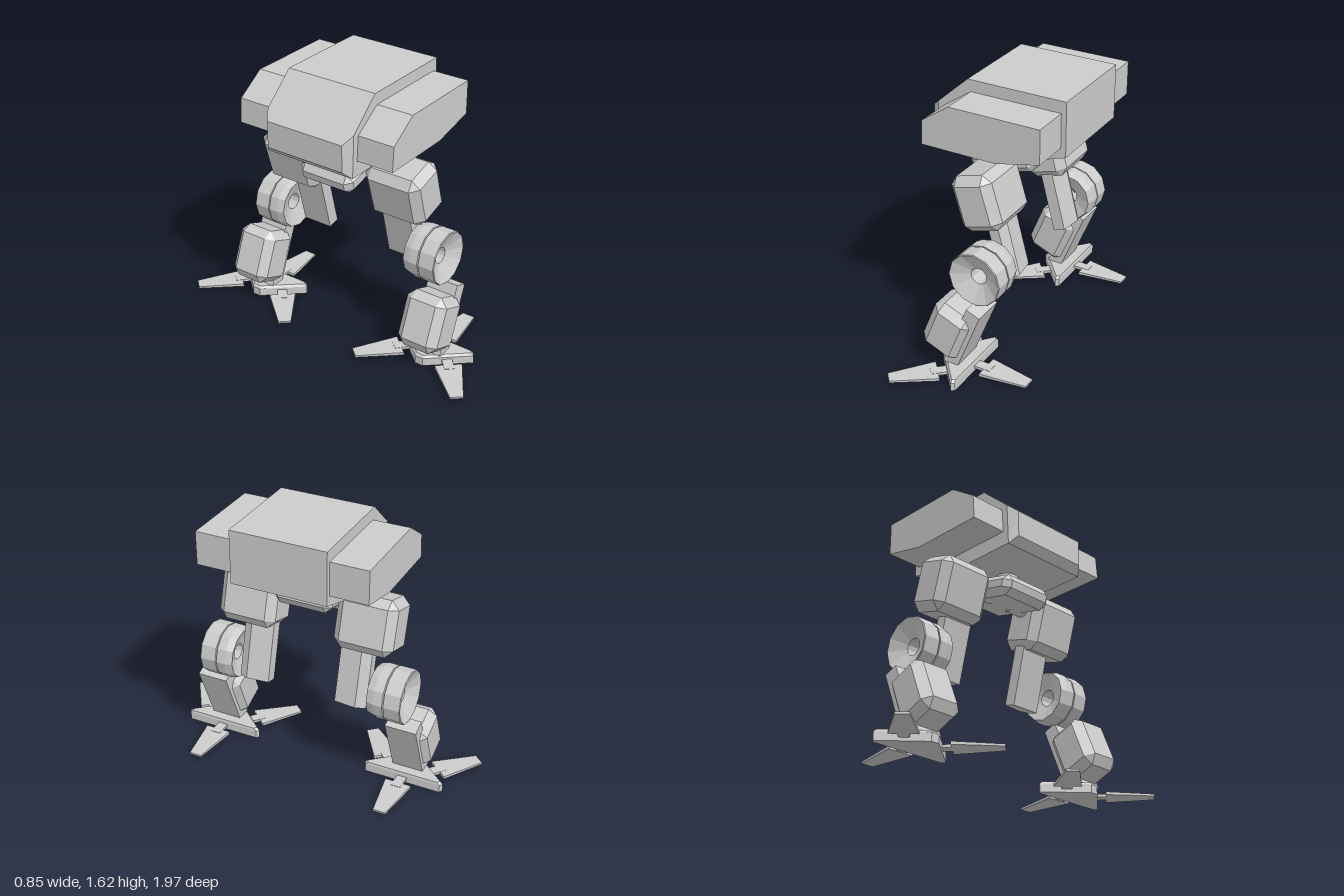
import * as THREE from 'three';
import { ConvexGeometry } from 'three/addons/geometries/ConvexGeometry.js';

const grey = new THREE.MeshStandardMaterial({ color: 0xcccccc, flatShading: true, side: THREE.DoubleSide });
const SIDES = [1, -1];

function add(parent, name, geometry, x = 0, y = 0, z = 0, tilt = 0) {
  const mesh = new THREE.Mesh(geometry, grey);
  mesh.name = name;
  mesh.position.set(x, y, z);
  mesh.rotation.z = tilt;
  parent.add(mesh);
  return mesh;
}

const hull = (pts) => new ConvexGeometry(pts.map((p) => new THREE.Vector3(...p)));

// Box with every edge and corner cut by c
function chamferBox(w, h, d, c) {
  const pts = [];
  for (const i of SIDES) for (const j of SIDES) for (const k of SIDES) {
    const x = i * w / 2, y = j * h / 2, z = k * d / 2;
    pts.push([x, y - j * c, z - k * c], [x - i * c, y, z - k * c], [x - i * c, y - j * c, z]);
  }
  return hull(pts);
}

// Straight prism from a list of [x, z] corners, centred on y
function prism(section, h) {
  return hull(section.flatMap(([x, z]) => [[x, -h / 2, z], [x, h / 2, z]]));
}

// Extruded [x, y] outline, centred on z
function slab(outline, depth) {
  const shape = new THREE.Shape(outline.map((p) => new THREE.Vector2(...p)));
  return new THREE.ExtrudeGeometry(shape, { depth, bevelEnabled: false }).translate(0, 0, -depth / 2);
}

function foot(s) {
  const g = new THREE.Group();
  g.name = 'foot';
  // Triangular sole with blunt points and a sloped rim
  const rim = [[0.045, 0.235], [0.025, 0.248], [-0.17, 0.025]];
  const pts = [];
  for (const k of SIDES) for (const [x, z] of rim) {
    pts.push([x, 0, k * z], [x, 0.05, k * z], [x * 0.92, 0.065, k * z * 0.93]);
  }
  add(g, 'sole', hull(pts));
  // One toe from the middle of each edge
  const toes = [[0.045, 0, 0], [-0.07, 0.125, -2.42], [-0.07, -0.125, 2.42]];
  for (const [x, z, turn] of toes) {
    const toe = new THREE.Group();
    toe.name = 'toe';
    toe.position.set(x, 0.028, z);
    toe.rotation.y = turn;
    add(toe, 'toeJoint', new THREE.BoxGeometry(0.14, 0.018, 0.06), 0.03);
    add(toe, 'toeBlade', hull([
      [0.06, -0.01, -0.08], [0.06, -0.01, 0.08], [0.06, 0.008, -0.08], [0.06, 0.008, 0.08],
      [0.34, -0.012, -0.038], [0.34, -0.012, 0.038], [0.34, 0, -0.038], [0.34, 0, 0.038],
    ]));
    g.add(toe);
  }
  g.position.z = s * 0.607;
  return g;
}

function leg(s) {
  const g = new THREE.Group();
  g.name = s > 0 ? 'frontLeg' : 'backLeg';

  // Hip axle, thigh block and the ridged strut below it
  add(g, 'hipAxle', new THREE.CylinderGeometry(0.05, 0.05, 0.2, 12).rotateX(Math.PI / 2), -0.02, 1.085, s * 0.17);
  add(g, 'thigh', chamferBox(0.265, 0.33, 0.36, 0.048), -0.002, 1.015, s * 0.365, 0.285);
  const thighSection = [[-0.045, -0.095], [-0.045, 0.095], [0.02, 0.095], [0.05, 0.04], [0.03, -0.095]];
  add(g, 'thighStrut', prism(thighSection.map(([x, z]) => [x, s * z]), 0.44), 0.075, 0.735, s * 0.31, 0.25);

  // Knee: two rings with dished faces and a bore through the middle
  const knee = [
    [0.05, 0.04], [0.15, 0], [0.162, 0.045], [0.162, 0.1], [0.13, 0.1], [0.13, 0.108],
    [0.162, 0.108], [0.162, 0.205], [0.158, 0.21], [0.05, 0.155], [0.05, 0.04],
  ].map((p) => new THREE.Vector2(...p));
  add(g, 'knee', new THREE.LatheGeometry(knee, 12).rotateX(s * Math.PI / 2), 0.055, 0.617, s * 0.43);

  // Shin block and the strut running down its +x side to the foot
  add(g, 'shin', chamferBox(0.255, 0.335, 0.26, 0.048), -0.088, 0.27, s * 0.615, -0.385);
  const shinSection = [[-0.045, -0.095], [-0.045, 0.095], [0.045, 0.095], [0.045, -0.095]];
  add(g, 'shinStrut', prism(shinSection, 0.43), 0.008, 0.25, s * 0.615, -0.385);

  g.add(foot(s));
  return g;
}

export function createModel() {
  const model = new THREE.Group();
  model.name = 'walker';

  // Hull with cut corners at the -x end
  const hullPts = [];
  for (const k of SIDES) {
    for (const [x, y] of [[-0.38, 1.205], [-0.37, 1.456], [-0.18, 1.625], [0.42, 1.625], [0.42, 1.305], [0.12, 1.205]]) {
      hullPts.push([x, y, k * 0.287]);
    }
    hullPts.push([-0.425, 1.25, k * 0.25], [-0.425, 1.408, k * 0.25]);
  }
  add(model, 'hull', hull(hullPts));

  // Side pods
  const pod = [[-0.34, 1.295], [0.12, 1.295], [0.39, 1.355], [0.39, 1.555], [-0.16, 1.555], [-0.33, 1.44]];
  for (const s of SIDES) add(model, 'sidePod', slab(pod, 0.26), 0, 0, s * 0.382);

  // Neck and pelvis
  add(model, 'neck', new THREE.CylinderGeometry(0.067, 0.067, 0.14, 16), -0.075, 1.145, 0);
  add(model, 'pelvis', chamferBox(0.43, 0.125, 0.36, 0.04), -0.05, 1.1, 0, 0.24);

  for (const s of SIDES) model.add(leg(s));
  return model;
}
